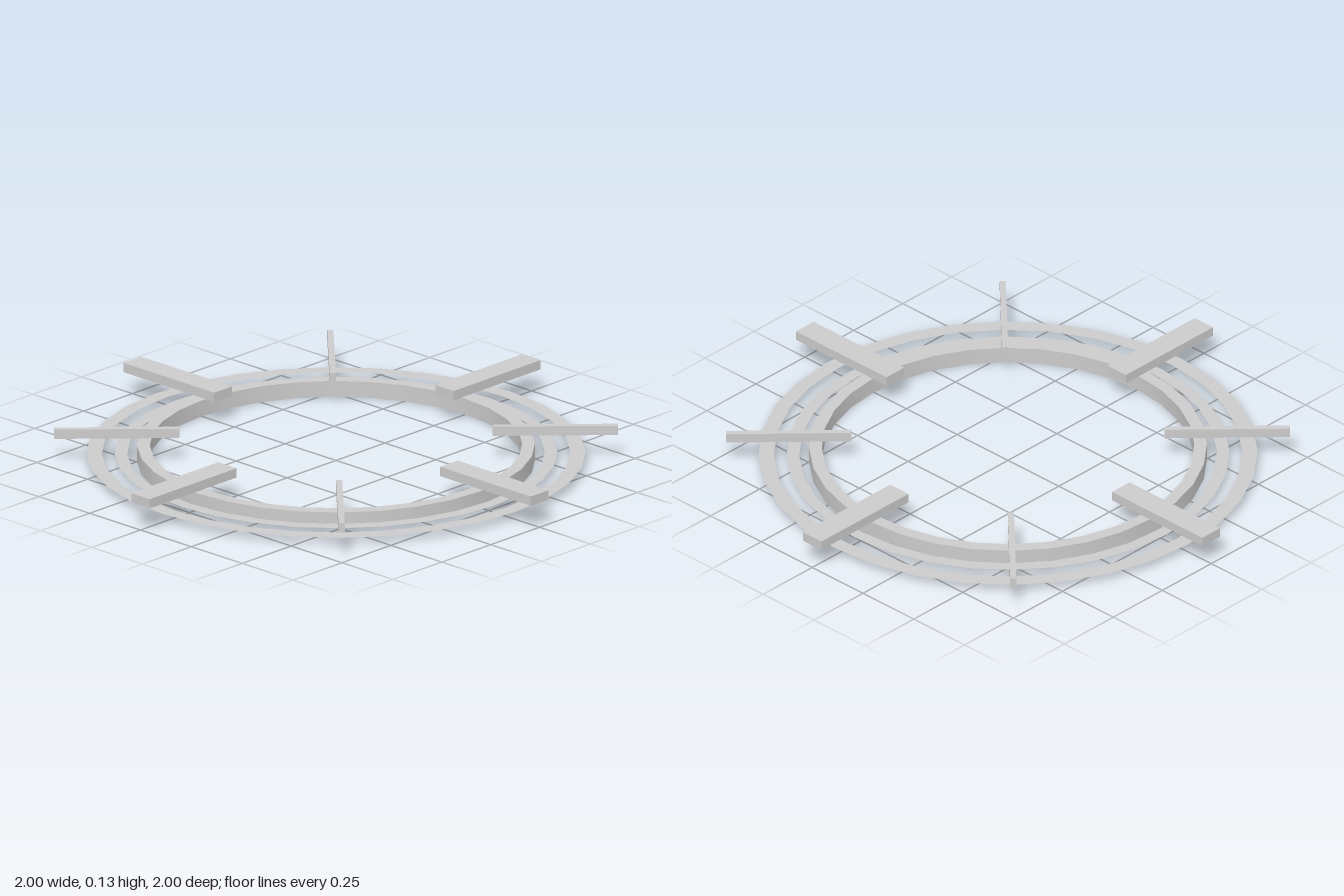
import * as THREE from 'three';
import { toCreasedNormals } from 'three/addons/utils/BufferGeometryUtils.js';

const SEGMENTS = 32;

export function createModel() {
  const model = new THREE.Group();
  model.name = 'ringDial';
  const grey = new THREE.MeshStandardMaterial({ color: 0xcccccc });
  const thin = new THREE.MeshStandardMaterial({ color: 0xcccccc, side: THREE.DoubleSide });

  const add = (name, geometry, material) => {
    const mesh = new THREE.Mesh(geometry, material);
    mesh.name = name;
    model.add(mesh);
    return mesh;
  };

  // Solid inner band: a rectangular section turned about y
  const section = [[0.705, 0], [0.705, 0.06], [0.66, 0.06], [0.66, 0], [0.705, 0]]
    .map(([r, y]) => new THREE.Vector2(r, y));
  add('innerBand', toCreasedNormals(new THREE.LatheGeometry(section, SEGMENTS), Math.PI / 6), grey);

  // Paper-thin flat rings at the band's mid height
  for (const [name, inner, outer] of [['middleRing', 0.74, 0.785], ['outerRing', 0.83, 0.885]]) {
    const ring = add(name, new THREE.RingGeometry(inner, outer, SEGMENTS).rotateX(-Math.PI / 2), thin);
    ring.position.y = 0.03;
  }

  // Radial bars above the rings: wide on the axes, narrow on the diagonals
  for (let i = 0; i < 8; i++) {
    const wide = i % 2 === 0;
    const geometry = new THREE.BoxGeometry(0.445, 0.035, wide ? 0.09 : 0.022);
    geometry.translate(0.7775, 0.11, 0);
    add(wide ? 'wideBar' : 'narrowBar', geometry, grey).rotation.y = i * Math.PI / 4;
  }
  return model;
}
